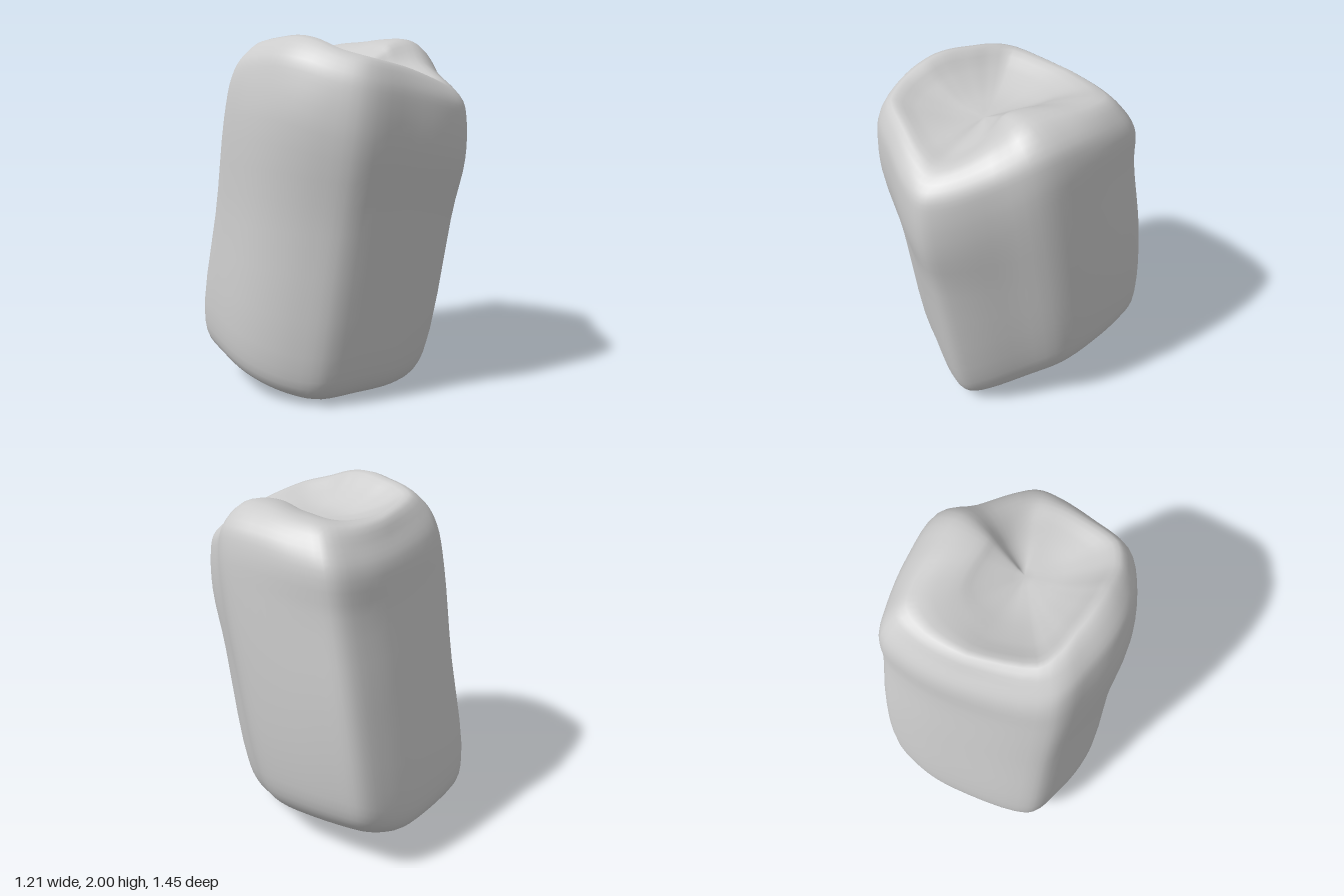
import * as THREE from 'three';
import { mergeVertices } from 'three/addons/utils/BufferGeometryUtils.js';

// Outline at mid height, from the front corner round by +x to the back:
// [x, z, rim height, rim inset scale]
const OUTLINE = [
  [0.18, 0.635, 1.75, 0.73], [0.285, 0.55, 1.77, 0.73], [0.44, 0.33, 1.85, 0.68],
  [0.58, 0.12, 1.96, 0.68], [0.605, -0.15, 1.97, 0.7], [0.58, -0.41, 1.95, 0.78],
  [0.53, -0.565, 1.94, 0.81], [0.35, -0.625, 1.92, 0.85], [0.08, -0.64, 1.92, 0.87],
  [-0.33, -0.6, 1.95, 0.82], [-0.44, -0.545, 1.97, 0.75], [-0.515, -0.37, 1.99, 0.72],
  [-0.575, -0.15, 2.0, 0.71], [-0.58, 0.03, 1.98, 0.72], [-0.535, 0.22, 1.93, 0.78],
  [-0.44, 0.39, 1.89, 0.8], [-0.2, 0.51, 1.84, 0.78], [0.03, 0.61, 1.78, 0.75],
];
const AROUND = 72, ALONG = 44, BASIN = 1.81;

// The underside rises softly toward the back and toward +x
const ramp = (u) => (u + Math.sqrt(u * u + 0.01)) / 2;
const underside = (x, z) => Math.max(0,
  Math.hypot(0.24 * ramp(0.12 - z), 0.72 * ramp(x - 0.12)) - 0.01);

// One profile from the middle of the underside, up the side, over the rim, into the hollow
function profile(x, z, rim, inset) {
  const at = (scale, y) => new THREE.Vector3(x * scale, y, z * scale + 0.17 * (y - 1));
  const under = (scale, lift) => at(scale, underside(x * scale, z * scale - 0.15) + lift);
  const foot = underside(x, z - 0.12);
  const shoulder = inset + 0.8 * (1 - inset);
  const right = Math.max(0, x); // the +x rim is broad and flat
  return new THREE.CatmullRomCurve3([
    under(0, 0), under(0.45, 0), under(0.77, 0.005), under(0.925 - 0.04 * x, 0.07),
    at(0.99 - 0.045 * x, foot + 0.25),
    at(1, 1.05),
    at(1.015 - 0.03 * x + 0.03 * z, rim - 0.42),
    at(shoulder + 0.035, rim - 0.2),
    at(shoulder - 0.03, rim - 0.09),
    at(inset, rim),
    at(inset * (0.75 - 0.3 * right), THREE.MathUtils.lerp(rim, BASIN, 0.45 - 0.55 * right)),
    at(inset * 0.4, THREE.MathUtils.lerp(rim, BASIN, 0.9 - 0.8 * right)),
    at(0, BASIN),
  ], false, 'centripetal');
}

function boulderGeometry() {
  const outline = new THREE.CatmullRomCurve3(
    OUTLINE.map(([x, z, rim]) => new THREE.Vector3(x, rim, z)), true, 'centripetal');
  const positions = [], index = [];
  for (let i = 0; i < AROUND; i++) {
    const t = i / AROUND, f = t * OUTLINE.length, k = Math.floor(f);
    const p = outline.getPoint(t);
    const inset = THREE.MathUtils.lerp(OUTLINE[k][3], OUTLINE[(k + 1) % OUTLINE.length][3], f - k);
    const curve = profile(p.x, p.z, p.y, inset);
    for (let j = 0; j <= ALONG; j++) {
      const v = curve.getPoint(j / ALONG);
      positions.push(v.x, Math.max(0, v.y), v.z);
      if (j === ALONG) continue;
      // Single triangles at the two poles, quads between them
      const a = i * (ALONG + 1) + j;
      const b = ((i + 1) % AROUND) * (ALONG + 1) + j;
      if (j > 0) index.push(a, b, b + 1);
      if (j < ALONG - 1) index.push(a, b + 1, a + 1);
    }
  }
  const geometry = new THREE.BufferGeometry();
  geometry.setAttribute('position', new THREE.Float32BufferAttribute(positions, 3));
  geometry.setIndex(index);
  const merged = mergeVertices(geometry, 1e-4);
  merged.computeVertexNormals();
  return merged;
}

export function createModel() {
  const group = new THREE.Group();
  group.name = 'rock';
  const boulder = new THREE.Mesh(boulderGeometry(), new THREE.MeshStandardMaterial({ color: 0xcccccc }));
  boulder.name = 'boulder';
  group.add(boulder);
  return group;
}
